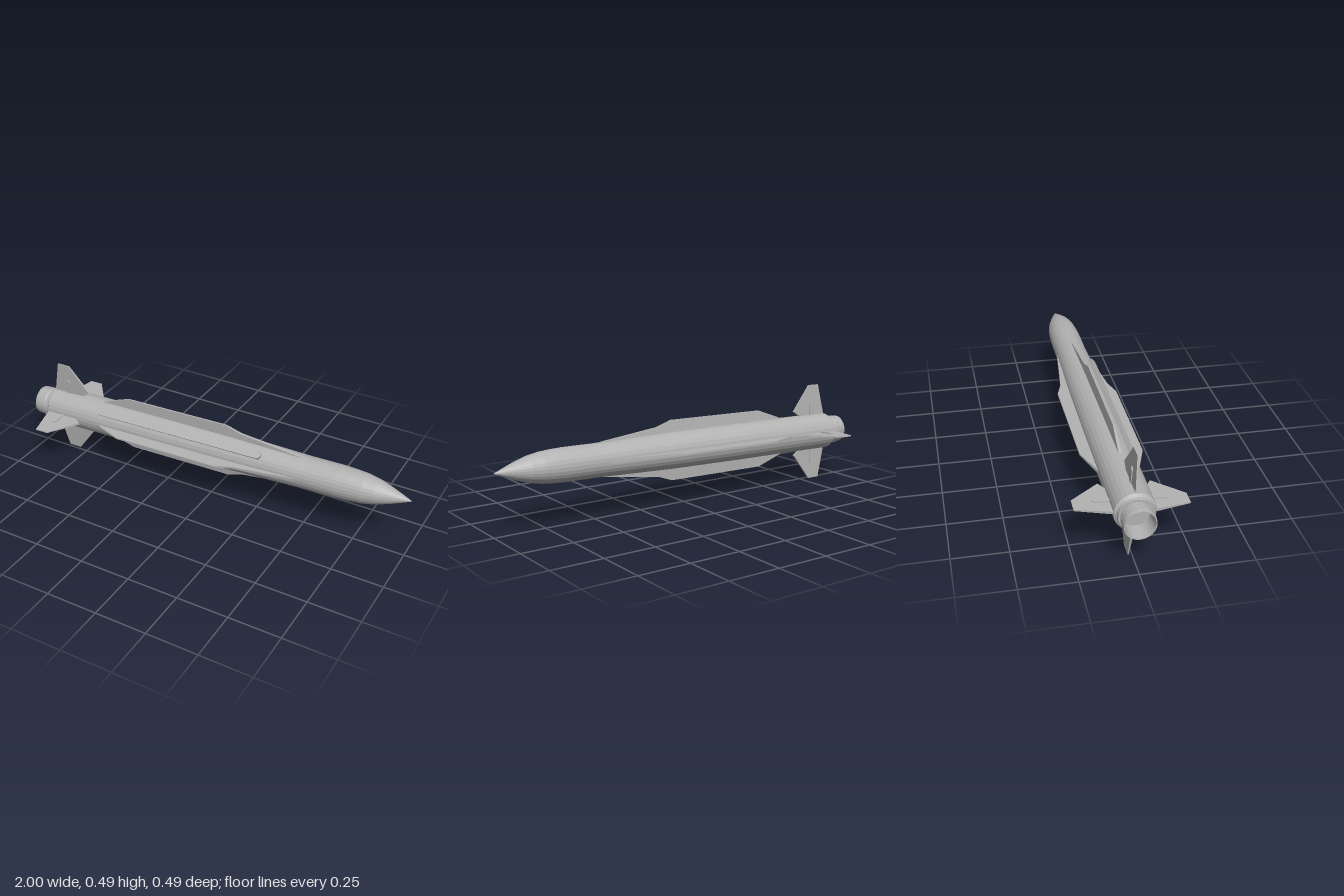
import * as THREE from 'three';

export function createModel() {
  const model = new THREE.Group();
  const grey = new THREE.MeshStandardMaterial({ color: 0xb2b2b2, flatShading: true, side: THREE.DoubleSide });
  grey.name = 'light grey';

  const add = (name, geometry, parent) => {
    const mesh = new THREE.Mesh(geometry, grey);
    mesh.name = name;
    parent.add(mesh);
    return mesh;
  };
  // Turned part along x from [x, radius] pairs
  const turned = (points, sides = 28) =>
    new THREE.LatheGeometry(points.map(([x, r]) => new THREE.Vector2(r, x)), sides).rotateZ(-Math.PI / 2);

  // Plate from an [x, radius] outline, tapering in thickness from root to tip
  const plate = (outline, root, tip, maxR) => {
    const shape = new THREE.Shape(outline.map(([x, r]) => new THREE.Vector2(x, r)));
    const g = new THREE.ExtrudeGeometry(shape, { depth: 1, bevelEnabled: false });
    const p = g.attributes.position;
    for (let i = 0; i < p.count; i++) {
      const t = THREE.MathUtils.clamp((p.getY(i) - 0.07) / (maxR - 0.07), 0, 1);
      p.setZ(i, (p.getZ(i) - 0.5) * THREE.MathUtils.lerp(root, tip, t));
    }
    g.computeVertexNormals();
    return g;
  };
  // Rounded bar in the xy plane
  const capsule = (x0, x1, y0, y1, depth) => {
    const w = x1 - x0, h = y1 - y0, r = Math.min(w, h) / 2;
    const s = new THREE.Shape();
    if (w > h) {
      s.absarc(x1 - r, y0 + r, r, -Math.PI / 2, Math.PI / 2);
      s.absarc(x0 + r, y0 + r, r, Math.PI / 2, Math.PI * 1.5);
    } else {
      s.absarc(x0 + r, y1 - r, r, 0, Math.PI);
      s.absarc(x0 + r, y0 + r, r, Math.PI, Math.PI * 2);
    }
    return new THREE.ExtrudeGeometry(s, { depth, bevelEnabled: false, curveSegments: 5 }).translate(0, 0, -depth / 2);
  };

  // Body and ogive nose
  add('body', turned([
    [-0.93, 0.066], [-0.93, 0.077], [-0.915, 0.079], [-0.905, 0.091], [-0.3, 0.091], [0.1, 0.088],
    [0.35, 0.082], [0.5, 0.078], [0.66, 0.078], [0.72, 0.0755], [0.78, 0.0705], [0.84, 0.059],
    [0.9, 0.04], [0.95, 0.021], [0.985, 0.007], [1, 0],
  ]), model);

  // Hollow nozzle with collar
  add('nozzle', turned([
    [-0.92, 0], [-0.92, 0.058], [-1, 0.064], [-1, 0.069], [-0.985, 0.071], [-0.945, 0.071],
    [-0.94, 0.067], [-0.92, 0.067],
  ]), model);
  for (let i = 0; i < 14; i++) {
    const stud = add('nozzleStud', new THREE.BoxGeometry(0.008, 0.003, 0.008).translate(-0.958, 0.071, 0), model);
    stud.rotation.x = (i / 14) * Math.PI * 2;
  }

  // Four long strakes and four tail fins
  const strake = plate([
    [-0.62, 0.086], [-0.46, 0.143], [0.08, 0.145], [0.16, 0.118], [0.47, 0.08], [0.44, 0.07], [-0.6, 0.07],
  ], 0.018, 0.007, 0.145);
  const fin = plate([
    [-0.905, 0.07], [-0.903, 0.092], [-0.868, 0.246], [-0.802, 0.246], [-0.698, 0.114], [-0.738, 0.088], [-0.745, 0.07],
  ], 0.013, 0.006, 0.246);
  const pin = capsule(-0.833, -0.807, 0.078, 0.163, 0.02);
  for (let i = 0; i < 4; i++) {
    const set = new THREE.Group();
    set.name = 'finSet';
    set.rotation.x = (i * Math.PI) / 2;
    add('strake', strake, set);
    add('tailFin', fin, set);
    add('finHinge', pin, set);
    model.add(set);
  }

  // Cable conduit along the upper front flank
  const conduit = add('cableConduit',
    capsule(-0.62, 0.29, -0.018, 0.018, 0.024).rotateX(-Math.PI / 2).translate(0, 0.086, 0), model);
  conduit.rotation.x = 0.72;

  // Slight roll, yaw and pitch of the whole missile
  model.rotation.set(0.06, 0.0115, 0.0228);
  model.position.set(0, 0.266, -0.0095);
  const root = new THREE.Group();
  root.name = 'missile';
  root.add(model);
  return root;
}
